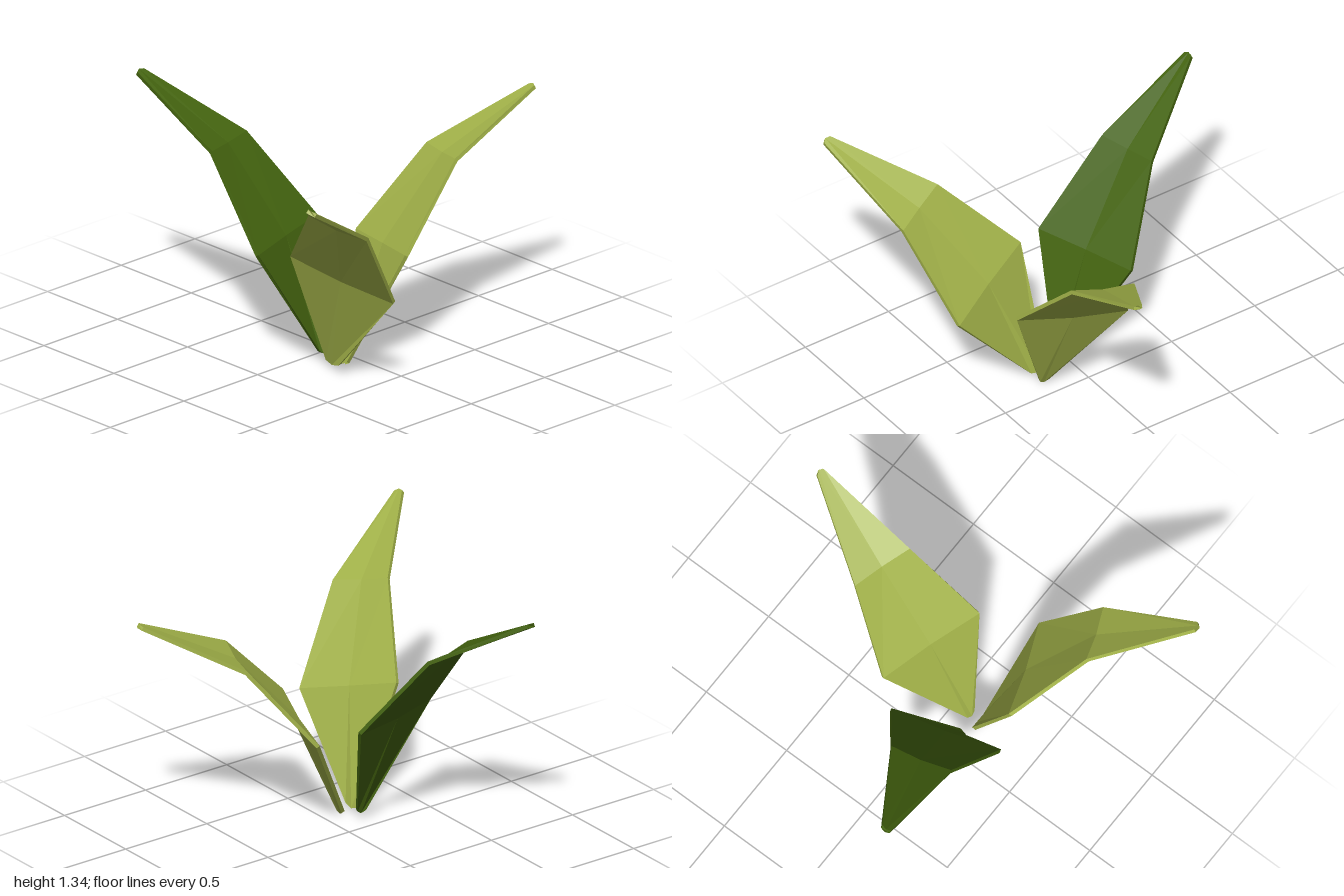
import * as THREE from 'three';

const V = (p) => new THREE.Vector3(...p);

// Folded leaf blade lofted through stations; each station is [one edge, other edge].
function bladeGeometry(stations, thickness = 0.02, ridge = 0.012) {
  const rows = stations.map(([a, b]) => [V(a), V(b)]);
  const centre = rows.map(([a, b]) => a.clone().lerp(b, 0.5));
  const last = rows.length - 1;
  const pos = [], index = [];

  rows.forEach(([a, b], i) => {
    const along = centre[Math.min(i + 1, last)].clone().sub(centre[Math.max(i - 1, 0)]).normalize();
    const across = b.clone().sub(a).normalize();
    const inner = along.clone().cross(across).normalize();
    const mid = centre[i].clone();
    // blunt point at both ends, shallow ridge between them
    if (i === 0) mid.addScaledVector(along, -0.015);
    else if (i === last) mid.addScaledVector(along, 0.012);
    else mid.addScaledVector(inner, -ridge);
    const h = thickness / 2;
    const ring = [[b, -h], [b, h], [mid, h], [a, h], [a, -h], [mid, -h]];
    for (const [p, d] of ring) pos.push(...p.clone().addScaledVector(inner, d).toArray());
  });

  const n = 6;
  for (let r = 0; r < last; r++) {
    for (let i = 0; i < n; i++) {
      const j = (i + 1) % n;
      const a = r * n + i, b = r * n + j;
      index.push(a, b, b + n, a, b + n, a + n);
    }
  }
  // end caps
  for (let i = 1; i < n - 1; i++) {
    index.push(0, i + 1, i, last * n, last * n + i, last * n + i + 1);
  }

  const g = new THREE.BufferGeometry();
  g.setAttribute('position', new THREE.Float32BufferAttribute(pos, 3));
  g.setIndex(index);
  const flat = g.toNonIndexed();
  flat.computeVertexNormals();
  return flat;
}

export function createModel() {
  const model = new THREE.Group();
  model.name = 'leafSprout';

  const darkGreen = new THREE.MeshStandardMaterial({ color: 0x44640f });
  darkGreen.name = 'darkGreen';
  const yellowGreen = new THREE.MeshStandardMaterial({ color: 0xa2b249 });
  yellowGreen.name = 'yellowGreen';

  const leaves = [
    // leaf leaning to the right side
    ['rightLeaf', darkGreen, [
      [[0.09, 0.055, 0.115], [0.08, 0.055, 0.16]],
      [[-0.2, 0.63, -0.085], [-0.035, 0.615, 0.47]],
      [[-0.475, 1.05, 0.13], [-0.395, 1.05, 0.44]],
      [[-0.91, 1.33, 0.41], [-0.905, 1.325, 0.46]],
    ]],
    // leaf leaning backward
    ['backLeaf', yellowGreen, [
      [[0.225, 0.02, 0.1], [0.175, 0.02, 0.095]],
      [[0.475, 0.615, -0.06], [-0.065, 0.55, -0.24]],
      [[0.42, 1.0, -0.45], [0.11, 0.97, -0.55]],
      [[0.42, 1.24, -0.985], [0.375, 1.235, -0.99]],
    ]],
    // leaf leaning to the front left
    ['frontLeaf', yellowGreen, [
      [[0.145, 0.035, 0.165], [0.235, 0.03, 0.165]],
      [[0.135, 0.65, 0.4], [0.65, 0.49, 0.19]],
      [[0.485, 1.03, 0.61], [0.775, 0.945, 0.49]],
      [[0.865, 1.26, 0.985], [0.91, 1.245, 0.97]],
    ]],
  ];

  for (const [name, material, stations] of leaves) {
    const leaf = new THREE.Mesh(bladeGeometry(stations), material);
    leaf.name = name;
    model.add(leaf);
  }
  return model;
}
